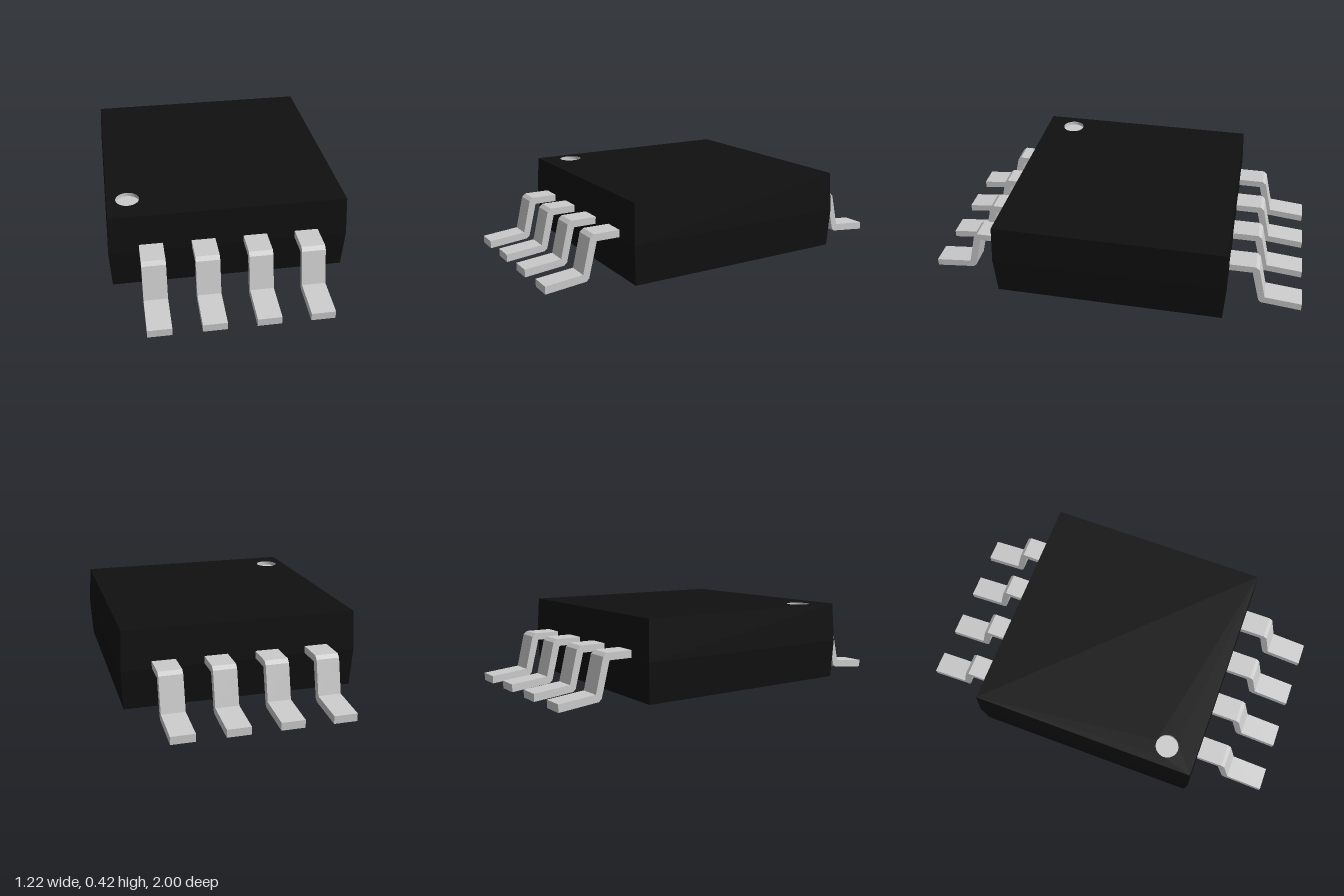
import * as THREE from 'three';

const TOP = 0.417, BOTTOM = 0.01, HALF = 0.6, BULGE = 0.61;
const DOT = { x: -0.495, z: 0.44, r: 0.06, depth: 0.02 };

const grey = new THREE.MeshStandardMaterial({ color: 0xcccccc });
const black = new THREE.MeshStandardMaterial({ color: 0x101010 });

function named(name, geometry, material) {
  const mesh = new THREE.Mesh(geometry, material);
  mesh.name = name;
  return mesh;
}

// Body shell: a box that bulges at mid height, left open at the top
function bodyShell() {
  const box = new THREE.BoxGeometry(2 * HALF, TOP - BOTTOM, 2 * HALF, 1, 2, 1);
  const p = box.attributes.position;
  for (let i = 0; i < p.count; i++) {
    if (Math.abs(p.getY(i)) < 0.01) {
      p.setX(i, Math.sign(p.getX(i)) * BULGE);
      p.setZ(i, Math.sign(p.getZ(i)) * BULGE);
    }
  }
  const { start, count } = box.groups[2];
  const index = Array.from(box.index.array);
  index.splice(start, count);
  box.setIndex(index);
  box.clearGroups();
  const shell = box.toNonIndexed();
  shell.computeVertexNormals();
  return shell.translate(0, (TOP + BOTTOM) / 2, 0);
}

// Top face with a round opening for the pin mark
function topFace() {
  const s = new THREE.Shape();
  s.moveTo(-HALF, -HALF);
  s.lineTo(HALF, -HALF);
  s.lineTo(HALF, HALF);
  s.lineTo(-HALF, HALF);
  s.closePath();
  const hole = new THREE.Path();
  hole.absarc(DOT.x, -DOT.z, DOT.r, 0, Math.PI * 2, true);
  s.holes.push(hole);
  return new THREE.ShapeGeometry(s, 16).rotateX(-Math.PI / 2).translate(0, TOP, 0);
}

// Gull-wing pin: side profile (z, y) extruded across its width
function pinGeometry() {
  const width = 0.12;
  const profile = [
    [0.58, 0.215], [0.73, 0.215], [0.775, 0.036], [0.79, 0.022], [1, 0],
    [1, 0.04], [0.806, 0.059], [0.764, 0.235], [0.745, 0.252], [0.58, 0.252],
  ];
  const shape = new THREE.Shape(profile.map(([z, y]) => new THREE.Vector2(z, y)));
  const g = new THREE.ExtrudeGeometry(shape, { depth: width, bevelEnabled: false });
  return g.translate(0, 0, -width / 2).rotateY(-Math.PI / 2);
}

export function createModel() {
  const model = new THREE.Group();
  model.name = 'chip';

  const body = new THREE.Group();
  body.name = 'body';
  body.add(named('bodyShell', bodyShell(), black), named('bodyTop', topFace(), black));
  model.add(body);

  // Shallow recessed mark beside the first pin
  const mark = new THREE.Group();
  mark.name = 'pinMark';
  const floor = named('markFloor', new THREE.CircleGeometry(DOT.r, 32).rotateX(-Math.PI / 2), grey);
  const wallMaterial = grey.clone();
  wallMaterial.side = THREE.DoubleSide;
  const wall = named('markWall',
    new THREE.CylinderGeometry(DOT.r, DOT.r, DOT.depth, 32, 1, true).translate(0, DOT.depth / 2, 0), wallMaterial);
  mark.add(floor, wall);
  mark.position.set(DOT.x, TOP - DOT.depth, DOT.z);
  model.add(mark);

  // Four pins on the front and four on the back
  const pin = pinGeometry();
  for (const side of ['front', 'back']) {
    const row = new THREE.Group();
    row.name = side + 'Pins';
    for (let i = 0; i < 4; i++) {
      const mesh = named(side + 'Pin' + (i + 1), pin, grey);
      mesh.position.x = (i - 1.5) * 0.2645;
      row.add(mesh);
    }
    if (side === 'back') row.rotation.y = Math.PI;
    model.add(row);
  }
  return model;
}
